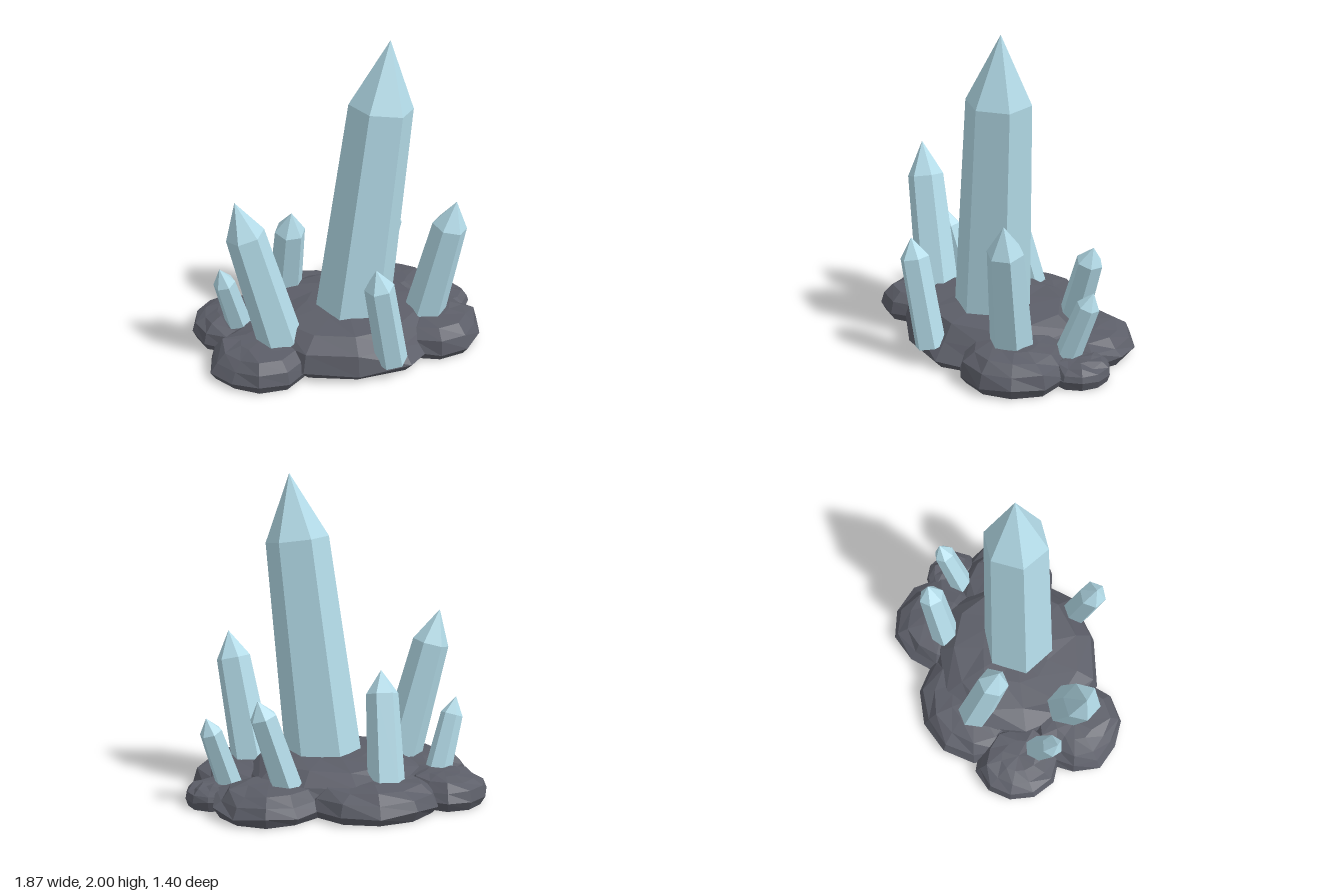
import * as THREE from 'three';

const crystalMat = new THREE.MeshStandardMaterial({ color: 0xb4dce9, flatShading: true });
const rockMat = new THREE.MeshStandardMaterial({ color: 0x5c5e68, flatShading: true });

// small seeded number generator
function seeded(seed) {
  let s = seed;
  return () => (s = (s * 16807) % 2147483647) / 2147483647;
}

// six-sided prism, slightly tapered, leaning from base to tip with a pointed cap
function crystal(name, base, tip, shoulderY, baseR, shoulderR, turn) {
  const from = new THREE.Vector3(...base);
  const axis = new THREE.Vector3(...tip).sub(from);
  const h = axis.length();
  const hs = h * (shoulderY - base[1]) / (tip[1] - base[1]);
  const profile = [[0, 0], [baseR, 0], [shoulderR, hs], [0, h]].map(p => new THREE.Vector2(...p));
  const geo = new THREE.LatheGeometry(profile, 6, THREE.MathUtils.degToRad(90 - turn)).toNonIndexed();
  geo.computeVertexNormals();
  const mesh = new THREE.Mesh(geo, crystalMat);
  mesh.name = name;
  mesh.position.copy(from);
  mesh.quaternion.setFromUnitVectors(new THREE.Vector3(0, 1, 0), axis.normalize());
  return mesh;
}

// flat-bottomed, irregular faceted boulder
function rock(name, x, z, rx, rz, h, seed) {
  const rand = seeded(seed * 7919 + 13);
  for (let i = 0; i < 5; i++) rand();
  const sides = 11;
  const profile = [[0, 0], [0.9, 0], [1, 0.055], [0.9, h * 0.62], [0.72, h * 0.9], [0.4, h * 0.99], [0, h]]
    .map(p => new THREE.Vector2(...p));
  const rows = profile.length;
  const geo = new THREE.LatheGeometry(profile, sides, seed);
  const pos = geo.attributes.position;
  // one radial bulge per side, plus a smaller change per ring
  const bulge = Array.from({ length: sides }, () => 0.94 + rand() * 0.09);
  const jitter = Array.from({ length: sides * rows }, () => rand() - 0.5);
  for (let i = 0; i < pos.count; i++) {
    const side = Math.floor(i / rows) % sides, row = i % rows;
    const j = jitter[side * rows + row];
    const r = bulge[side] + j * (row < 3 ? 0.03 : 0.12);
    const lift = row >= 2 && row < rows - 1 ? j * (row === 5 ? 0.01 : 0.03) : 0;
    pos.setXYZ(i, pos.getX(i) * r * rx, pos.getY(i) + lift, pos.getZ(i) * r * rz);
  }
  const flat = geo.toNonIndexed();
  flat.computeVertexNormals();
  const mesh = new THREE.Mesh(flat, rockMat);
  mesh.name = name;
  mesh.position.set(x, 0, z);
  return mesh;
}

export function createModel() {
  const model = new THREE.Group();
  model.name = 'crystalCluster';

  // rock base: a large centre boulder ringed by lower ones
  const base = new THREE.Group();
  base.name = 'rockBase';
  [
    ['centreRock', 0, 0.06, 0.63, 0.6, 0.27, 1],
    ['backRock', -0.19, -0.33, 0.42, 0.37, 0.19, 2],
    ['backLeftRock', 0.42, -0.3, 0.35, 0.36, 0.18, 3],
    ['leftRock', 0.74, -0.11, 0.19, 0.2, 0.13, 4],
    ['frontLeftRock', 0.53, 0.2, 0.34, 0.36, 0.21, 5],
    ['frontRightRock', -0.6, 0.24, 0.33, 0.33, 0.19, 6],
    ['backRightRock', -0.67, -0.2, 0.27, 0.29, 0.18, 7],
  ].forEach(r => base.add(rock(...r)));

  // crystals: name, base, tip, shoulder height, base radius, shoulder radius, turn
  const crystals = new THREE.Group();
  crystals.name = 'crystals';
  [
    ['mainCrystal', [0.045, 0.2, 0.1], [0.25, 2, 0.15], 1.595, 0.243, 0.198, 10],
    ['frontRightCrystal', [-0.46, 0.12, 0.235], [-0.72, 1.13, 0.21], 0.915, 0.143, 0.118, 5],
    ['frontLeftCrystal', [0.485, 0.12, 0.2], [0.63, 1, 0.34], 0.83, 0.137, 0.11, 15],
    ['backLeftCrystal', [0.305, 0.12, -0.33], [0.49, 0.69, -0.36], 0.59, 0.1, 0.085, 25],
    ['backRightCrystal', [-0.28, 0.15, -0.36], [-0.275, 0.82, -0.17], 0.68, 0.115, 0.1, 0],
    ['rightCrystal', [-0.65, 0.1, -0.075], [-0.79, 0.6, 0.015], 0.49, 0.085, 0.07, 20],
    ['frontCrystal', [0.14, 0.11, 0.575], [0.01, 0.78, 0.63], 0.66, 0.098, 0.09, 10],
    ['leftCrystal', [0.65, 0.1, -0.08], [0.79, 0.55, -0.17], 0.46, 0.083, 0.07, 15],
  ].forEach(c => crystals.add(crystal(...c)));

  model.add(base, crystals);
  return model;
}
